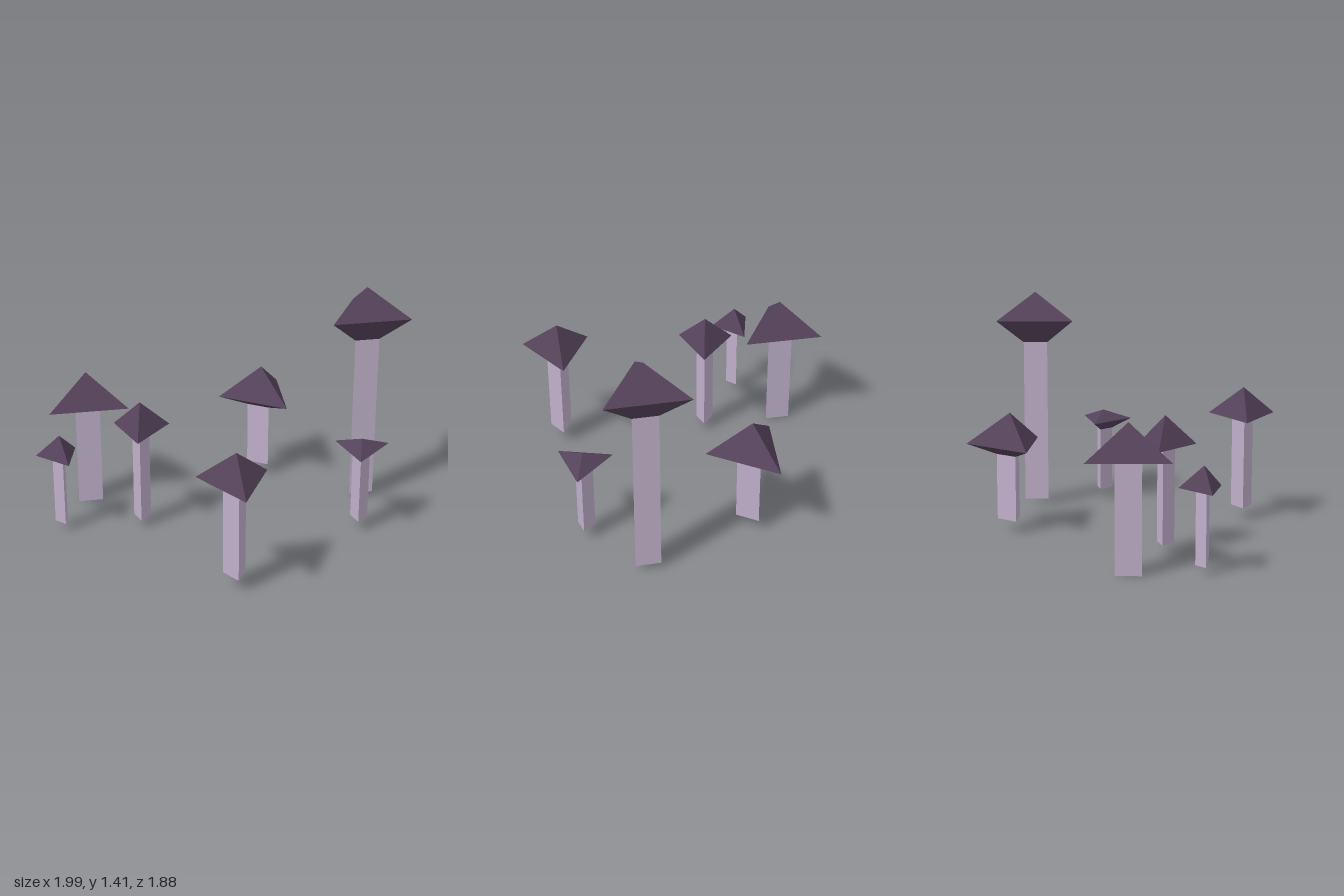
import * as THREE from 'three';

const capMaterial = new THREE.MeshStandardMaterial({ color: 0x54425a, flatShading: true });
const stemMaterial = new THREE.MeshStandardMaterial({ color: 0xc0b0ca, flatShading: true });

// x, z, direction of one cap corner (degrees from +x towards +z), cap radius,
// stem radius, then heights: stem foot, cap underside, rim, apex
const mushrooms = [
  { name: 'backMushroom', x: 0, z: -0.672, turn: -91, cap: 0.273, stem: 0.085, foot: 0.075, under: 0.485, rim: 0.545, top: 0.745 },
  { name: 'tallMushroom', x: 0.713, z: -0.626, turn: -6.5, cap: 0.283, stem: 0.088, foot: 0.035, under: 1.085, rim: 1.235, top: 1.41 },
  { name: 'leftMushroom', x: 0.867, z: -0.2, turn: -49, cap: 0.188, stem: 0.06, foot: 0.075, under: 0.485, rim: 0.545, top: 0.61 },
  { name: 'rightMushroom', x: -0.827, z: 0.145, turn: -6, cap: 0.283, stem: 0.088, foot: 0, under: 0.665, rim: 0.665, top: 0.87 },
  { name: 'middleMushroom', x: -0.362, z: 0.312, turn: -53.5, cap: 0.195, stem: 0.06, foot: 0.052, under: 0.64, rim: 0.64, top: 0.822 },
  { name: 'smallMushroom', x: -0.78, z: 0.563, turn: -81.5, cap: 0.147, stem: 0.046, foot: 0.047, under: 0.487, rim: 0.487, top: 0.625 },
  { name: 'frontMushroom', x: 0.468, z: 0.742, turn: -67.5, cap: 0.24, stem: 0.076, foot: 0.078, under: 0.665, rim: 0.665, top: 0.85 },
];

// Three-sided prism or frustum between two heights
function frustum(name, topRadius, bottomRadius, y0, y1, open, material) {
  const geometry = new THREE.CylinderGeometry(topRadius, bottomRadius, y1 - y0, 3, 1, open);
  geometry.translate(0, (y0 + y1) / 2, 0);
  const mesh = new THREE.Mesh(geometry, material);
  mesh.name = name;
  return mesh;
}

function createMushroom(m) {
  const group = new THREE.Group();
  group.name = m.name;
  const tapered = m.rim > m.under;
  group.add(frustum('stem', m.stem, m.stem, m.foot, m.under, false, stemMaterial));
  // Pyramid cap, with a flat underside or one tapering to the stem
  group.add(frustum('cap', 0, m.cap, m.rim, m.top, tapered, capMaterial));
  if (tapered) group.add(frustum('capUnderside', m.cap, m.stem, m.under, m.rim, true, capMaterial));
  group.position.set(m.x, 0, m.z);
  group.rotation.y = THREE.MathUtils.degToRad(90 - m.turn);
  return group;
}

export function createModel() {
  const model = new THREE.Group();
  model.name = 'mushroomCluster';
  for (const m of mushrooms) model.add(createMushroom(m));
  return model;
}
